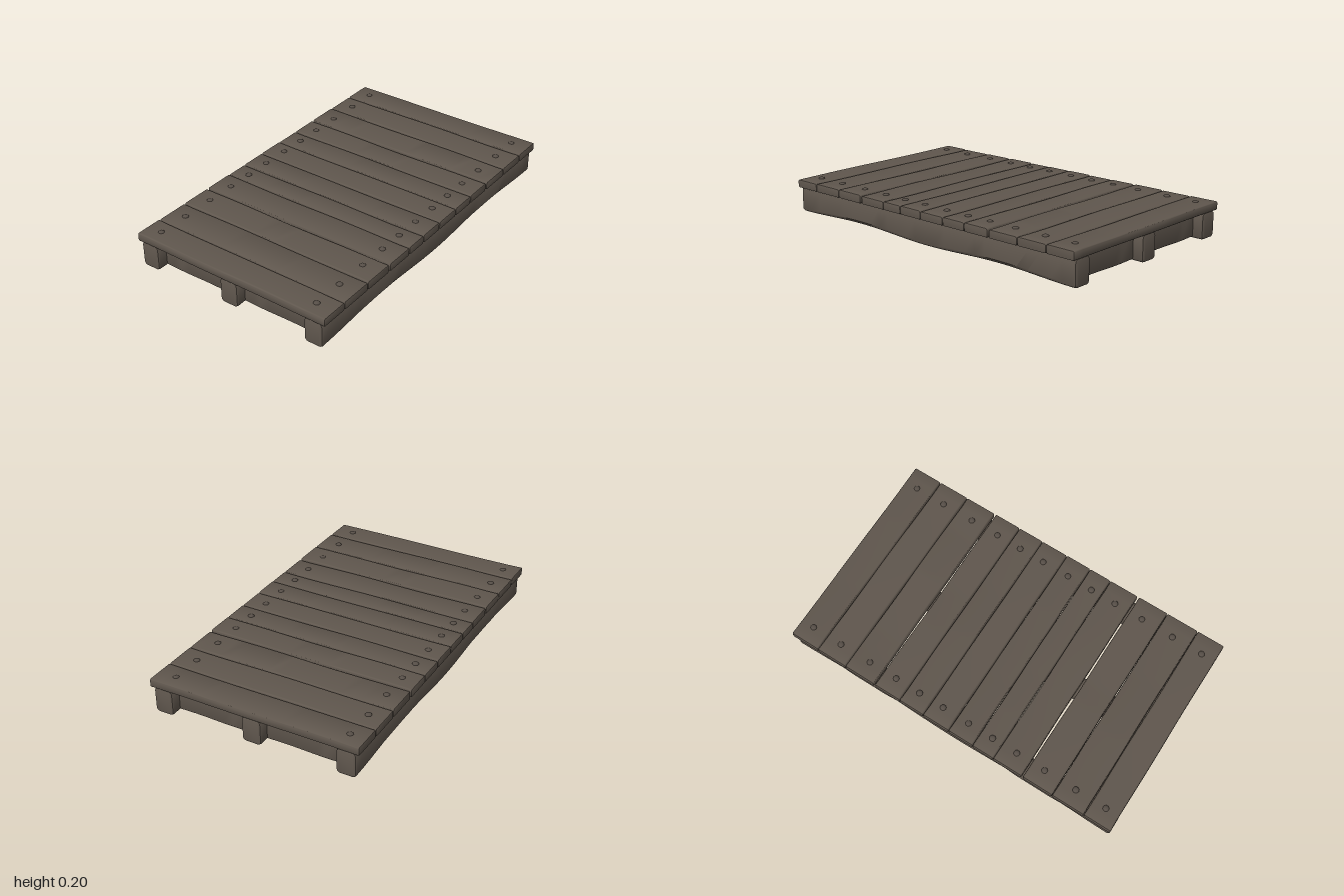
import * as THREE from 'three';
import { toCreasedNormals } from 'three/addons/utils/BufferGeometryUtils.js';

// Rounded timber running along z, centred on the origin; wear(v) shifts each vertex
function timber(width, height, length, r, steps, wear) {
  const a = width / 2 - r, b = height / 2 - r, c = r * 0.8;
  const s = new THREE.Shape();
  s.absarc(a - c, b - c, c, 0, Math.PI / 2);
  s.absarc(-a + c, b - c, c, Math.PI / 2, Math.PI);
  s.absarc(-a + c, -b + c, c, Math.PI, Math.PI * 1.5);
  s.absarc(a - c, -b + c, c, Math.PI * 1.5, Math.PI * 2);
  s.closePath();
  const geo = new THREE.ExtrudeGeometry(s, {
    depth: length - 2 * r, steps, curveSegments: 2,
    bevelThickness: r, bevelSize: r, bevelSegments: 2,
  });
  geo.translate(0, 0, -length / 2 + r);
  const p = geo.attributes.position, v = new THREE.Vector3();
  for (let i = 0; i < p.count; i++) {
    wear(v.fromBufferAttribute(p, i));
    p.setXYZ(i, v.x, v.y, v.z);
  }
  geo.clearGroups();
  return toCreasedNormals(geo, 0.7);
}

export function createModel() {
  const group = new THREE.Group();
  const wood = new THREE.MeshStandardMaterial({ color: 0x5f564d });
  wood.name = 'weathered wood';
  const iron = new THREE.MeshStandardMaterial({ color: 0x564e47 });
  iron.name = 'dull nail';

  function add(name, geo, mat, x, y, z) {
    const mesh = new THREE.Mesh(geo, mat);
    mesh.name = name;
    mesh.position.set(x, y, z);
    group.add(mesh);
    return mesh;
  }

  // Deck planks, with open gaps either side of the middle section
  const seams = [-1, -0.84, -0.65, -0.467, -0.29, -0.16, -0.01, 0.15, 0.3, 0.462, 0.65, 0.83, 1];
  const nailX = [-0.92, -0.74, -0.55, -0.38, -0.23, -0.08, 0.08, 0.23, 0.38, 0.55, 0.74, 0.92];
  const nailGeo = new THREE.SphereGeometry(0.018, 10, 4, 0, Math.PI * 2, 0, Math.PI / 2);
  nailGeo.scale(1, 0.6, 1);
  for (let i = 0; i < nailX.length; i++) {
    const left = seams[i] + (i === 3 || i === 9 ? 0.005 : i ? 0.001 : 0);
    const right = seams[i + 1] - (i === 2 || i === 8 ? 0.005 : i < 11 ? 0.001 : 0);
    const w = right - left;
    const plank = timber(w, 0.047, 1.19, 0.006, 20, (v) => {
      if (v.y > 0) v.y += 0.0015 * Math.sin(v.z * 7 + i * 2.1);
      // slightly uneven long edges, kept straight on the outer rim
      if (Math.abs(v.x) > w / 4 && Math.abs(v.z) < 0.58) v.x -= Math.sign(v.x) * 0.001 * (1 + Math.sin(v.z * 9 + i));
    });
    add('deckPlank', plank, wood, (left + right) / 2, 0.1645, 0);
    for (const z of [-0.505, 0.49]) add('nail', nailGeo, iron, nailX[i], 0.186, z);
  }

  // Three long bearers with worn lower edges
  for (const z of [-0.522, 0.002, 0.522]) {
    const bearer = timber(0.108, 0.144, 1.99, 0.012, 28, (v) => {
      const worn = Math.sin(v.z * Math.PI) ** 2;
      if (v.y < -0.04 && v.x * z < 0) v.y += 0.014 * worn;
      if (v.y < -0.04) v.x -= Math.sign(v.x) * 0.006 * worn;
    });
    add('bearer', bearer, wood, 0, 0.072, z).rotation.y = Math.PI / 2;
  }

  // Cross pieces set in from both ends, filling between the bearers
  for (const side of [-1, 1]) {
    for (const z of [-0.262, 0.262]) {
      const cross = timber(0.12, 0.138, 0.46, 0.008, 8, (v) => {
        if (v.y < 0) v.y += 0.002 * (1 + Math.sin(v.z * 16));
      });
      add('crossPiece', cross, wood, side * 0.875, 0.073, z);
    }
  }
  return group;
}
